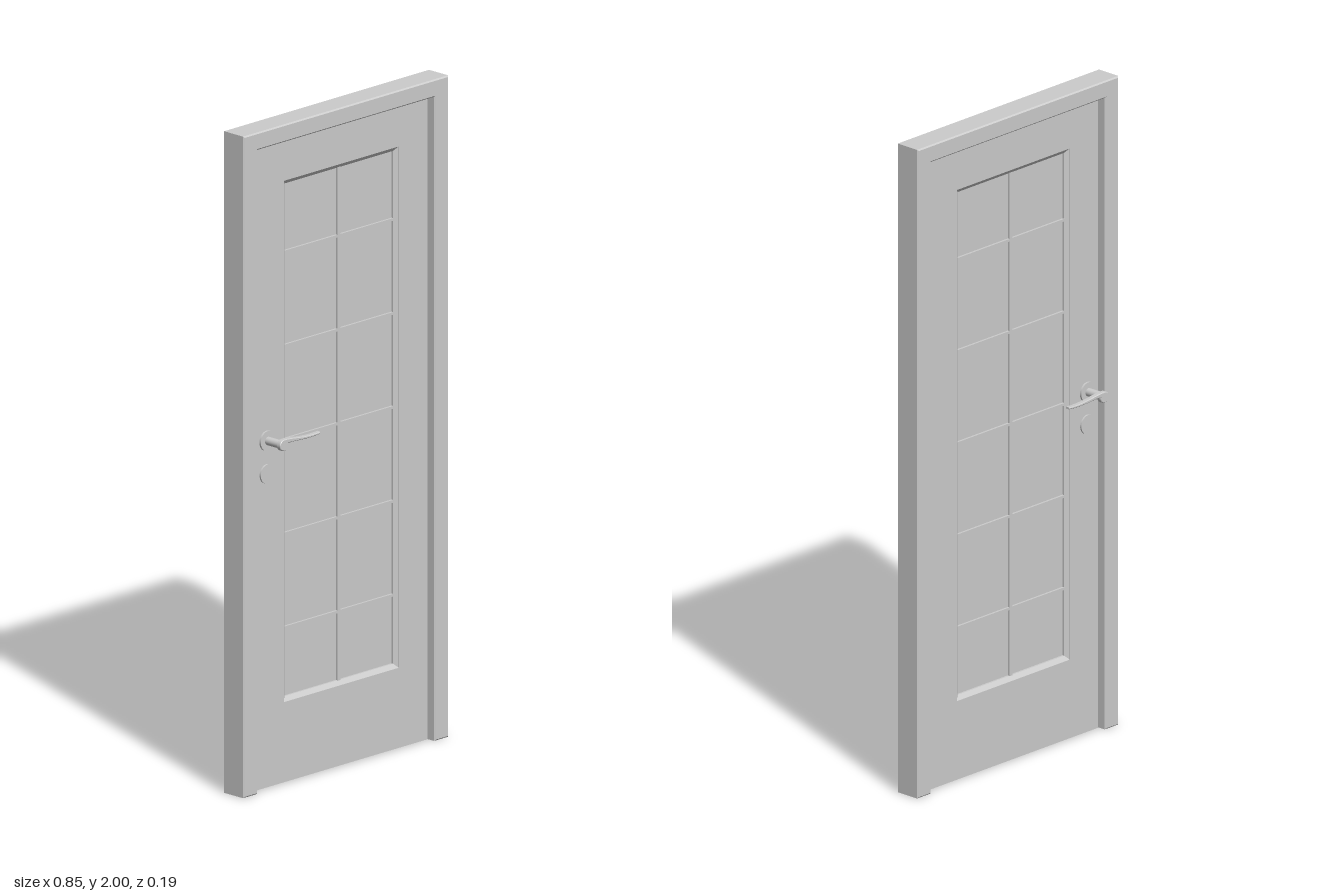
import * as THREE from 'three';

const grey = new THREE.MeshStandardMaterial({ color: 0xcccccc });

function add(parent, name, geometry, x = 0, y = 0, z = 0) {
  const mesh = new THREE.Mesh(geometry, grey);
  mesh.name = name;
  mesh.position.set(x, y, z);
  parent.add(mesh);
  return mesh;
}

const box = (w, h, d) => new THREE.BoxGeometry(w, h, d);

// Rectangle outline, usable as a shape or as a hole
function rect(Type, x, y0, y1) {
  const p = new Type();
  p.moveTo(-x, y0);
  p.lineTo(x, y0);
  p.lineTo(x, y1);
  p.lineTo(-x, y1);
  p.closePath();
  return p;
}

// Extrusion centred on z = 0, with an optional chamfer on both faces
function slab(shape, thickness, bevelSize = 0, bevelThickness = bevelSize, bevelOffset = 0) {
  const depth = thickness - 2 * bevelThickness;
  const g = new THREE.ExtrudeGeometry(shape, {
    depth, bevelEnabled: bevelSize > 0, bevelSize, bevelThickness, bevelOffset, bevelSegments: 1, curveSegments: 24,
  });
  return g.translate(0, 0, -depth / 2);
}

// U-shaped outline: two posts and a head, open at the floor
function portal(outer, top, inner, innerTop, floor = 0) {
  const pts = [[-outer, floor], [-inner, floor], [-inner, innerTop], [inner, innerTop],
    [inner, floor], [outer, floor], [outer, top], [-outer, top]];
  return new THREE.Shape(pts.map(([x, y]) => new THREE.Vector2(x, y)));
}

// Lever: round hub and a thin wavy tail, as one flat profile
function leverGeometry() {
  const hub = new THREE.Shape();
  hub.absarc(0, 0, 0.016, 0, Math.PI * 2);
  const s = new THREE.Shape();
  s.moveTo(0, 0.016);
  s.bezierCurveTo(0.04, 0.018, 0.07, 0.003, 0.149, 0.008);
  s.lineTo(0.149, 0.004);
  s.bezierCurveTo(0.08, -0.003, 0.05, 0.008, 0.01, 0.004);
  s.closePath();
  return slab([hub, s], 0.016, 0.002, 0.002, -0.001);
}

export function createModel() {
  const door = new THREE.Group();
  door.name = 'door';

  // Door frame with chamfered edges, and the stop closing the gap round the leaf
  const c = 0.004;
  add(door, 'frame', slab(portal(0.423, 2, 0.366, 1.947), 0.084, c, c, -c));
  add(door, 'stop', slab(portal(0.37, 1.95, 0.35, 1.935, 0.004), 0.02));

  // Leaf with a glazed opening
  const leafT = 0.044, ox = 0.237, oy0 = 0.246, oy1 = 1.822;
  const leafShape = rect(THREE.Shape, 0.355, 0.004, 1.94);
  leafShape.holes.push(rect(THREE.Path, ox, oy0, oy1));
  add(door, 'leaf', slab(leafShape, leafT));

  // Sloped moulding round the glass
  const mould = rect(THREE.Shape, ox + 0.012, oy0 - 0.012, oy1 + 0.012);
  mould.holes.push(rect(THREE.Path, ox, oy0, oy1));
  add(door, 'moulding', slab(mould, leafT - 0.002, 0.013, 0.01));

  // Glass and glazing bars
  const midY = (oy0 + oy1) / 2;
  add(door, 'glass', box(0.46, 1.56, 0.01), 0, midY, 0);
  add(door, 'verticalBar', box(0.012, 1.56, 0.024), 0, midY, 0);
  for (let i = -2; i <= 2; i++) {
    add(door, 'horizontalBar', box(0.46, 0.008, 0.024), 0, midY + i * 0.284, 0);
  }

  // Hinges on the back
  for (const y of [0.43, 1.67]) {
    add(door, 'hinge', new THREE.CylinderGeometry(0.006, 0.006, 0.1, 12), 0.361, y, -0.022);
  }

  // Handle set on both faces
  for (const side of [1, -1]) {
    const handle = new THREE.Group();
    handle.name = side > 0 ? 'frontHandle' : 'backHandle';
    handle.position.set(-0.309, 1.053, 0);
    const disc = (name, r, z0, z1, y) => {
      const g = new THREE.CylinderGeometry(r, r, z1 - z0, 32).rotateX(Math.PI / 2);
      add(handle, name, g, 0, y, side * (z0 + z1) / 2);
    };
    disc('rosette', 0.03, 0.02, 0.028, 0);
    disc('keyPlate', 0.029, 0.02, 0.027, -0.1);
    disc('spindle', 0.0125, 0.02, 0.08, 0);
    add(handle, 'lever', leverGeometry(), 0, 0, side * 0.086);
    door.add(handle);
  }

  return door;
}
